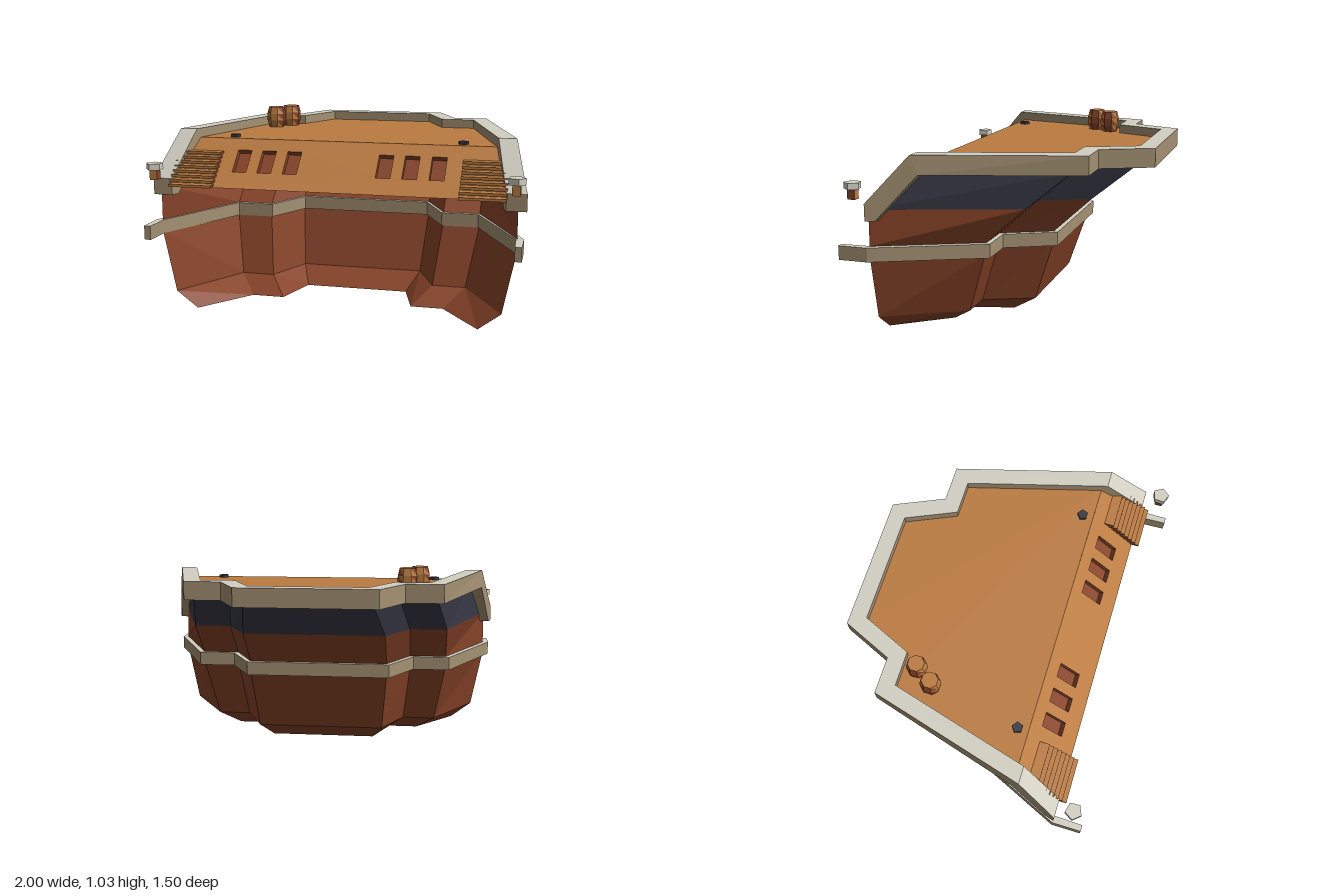
import * as THREE from 'three';

const mat = (name, color) => {
  const m = new THREE.MeshStandardMaterial({ color, side: THREE.DoubleSide, flatShading: true });
  m.name = name;
  return m;
};
const redWood = mat('red wood', 0x864328);
const orangeWood = mat('orange wood', 0xbb7b41);
const paleTrim = mat('pale trim', 0xd2cfc2);
const tanTrim = mat('tan trim', 0xa39072);
const darkBlue = mat('dark blue', 0x383846);

function add(parent, name, geometry, material, x = 0, y = 0, z = 0) {
  const m = new THREE.Mesh(geometry, material);
  m.name = name;
  m.position.set(x, y, z);
  parent.add(m);
  return m;
}

// Faceted strip between consecutive rows of points
function sheet(...rows) {
  const p = [];
  for (let r = 0; r < rows.length - 1; r++) {
    const a = rows[r], b = rows[r + 1];
    for (let i = 0; i < a.length - 1; i++) {
      p.push(...a[i], ...a[i + 1], ...b[i + 1], ...a[i], ...b[i + 1], ...b[i]);
    }
  }
  const g = new THREE.BufferGeometry();
  g.setAttribute('position', new THREE.Float32BufferAttribute(p, 3));
  g.computeVertexNormals();
  return g;
}

// Completes a half path (left front to back) with its mirror image
const mirrored = (half) => [...half, ...half.slice().reverse().map(([x, y, z]) => [-x, y, z])];

// Rectangular beam along the hull: pale on top, tan elsewhere
function beam(parent, name, outTop, inTop, outBot, inBot) {
  const [ot, it, ob, ib] = [outTop, inTop, outBot, inBot].map(mirrored);
  const n = ot.length - 1;
  add(parent, name + 'Top', sheet(ot, it), paleTrim);
  add(parent, name + 'Sides', sheet(it, ib, ob, ot), tanTrim);
  add(parent, name + 'LeftEnd', sheet([ib[0], ob[0]], [it[0], ot[0]]), tanTrim);
  add(parent, name + 'RightEnd', sheet([ob[n], ib[n]], [ot[n], it[n]]), tanTrim);
}

const polygon = (pts) => new THREE.Shape(pts.map(([x, y]) => new THREE.Vector2(x, y)));

// Barrel with red staves on the sides and orange ones front and back
function barrelGeometry() {
  const prof = [[0, 0], [0.045, 0], [0.056, 0.04], [0.056, 0.08], [0.045, 0.12], [0, 0.12]];
  const g = new THREE.LatheGeometry(prof.map(([x, y]) => new THREE.Vector2(x, y)), 8, Math.PI / 8).toNonIndexed();
  const p = g.attributes.position;
  g.clearGroups();
  for (let i = 0; i < p.count; i += 3) {
    let x = 0, z = 0, flat = true;
    for (let k = i; k < i + 3; k++) {
      x += p.getX(k);
      z += p.getZ(k);
      if (Math.abs(p.getY(k) - p.getY(i)) > 0.001) flat = false;
    }
    g.addGroup(i, 3, !flat && Math.abs(x) > Math.abs(z) ? 1 : 0);
  }
  return g;
}

export function createModel() {
  const ship = new THREE.Group();
  ship.name = 'shipStern';

  // Open hull shell, each row: height, four widths, three depths (front, step, back)
  const row = ([y, a, b, c, d, zf, zs, zb]) => mirrored([[a, y, zf], [b, y, zs], [c, y, zs], [d, y, zb]]);
  const rows = [
    [0, 0.77, 0.55, 0.37, 0.295, 0.59, 0.30, 0.04],
    [0.09, 0.89, 0.655, 0.47, 0.355, 0.59, 0.17, -0.10],
    [0.42, 0.957, 0.715, 0.51, 0.385, 0.59, 0.06, -0.21],
    [0.49, 0.957, 0.715, 0.51, 0.385, 0.59, 0.05, -0.215],
    [0.68, 0.955, 0.715, 0.51, 0.385, 0.59, -0.16, -0.42],
    [0.87, 0.86, 0.66, 0.46, 0.335, 0.34, -0.385, -0.655],
  ].map(row);
  add(ship, 'hull', sheet(...rows.slice(0, 5)), redWood);
  add(ship, 'upperHullBand', sheet(...rows.slice(4)), darkBlue);

  // Rubbing strake around the hull, running on past the open front
  const at = (y, pts) => pts.map(([x, z]) => [x, y, z]);
  const strakeOut = [[0.99, 0.75], [0.99, 0.59], [0.735, 0.025], [0.53, 0.025], [0.40, -0.24]];
  const strakeIn = [[0.955, 0.75], [0.95, 0.59], [0.708, 0.07], [0.503, 0.07], [0.378, -0.195]];
  beam(ship, 'strake', at(0.49, strakeOut), at(0.49, strakeIn), at(0.415, strakeOut), at(0.415, strakeIn));

  // Bulwark rail, sloping down at the front
  const outBack = [[0.69, -0.48], [0.49, -0.48], [0.37, -0.75]];
  const inBack = [[0.62, -0.39], [0.43, -0.39], [0.31, -0.66]];
  beam(ship, 'rail',
    [[1, 0.72, 0.59], [0.984, 0.77, 0.545], [0.927, 0.965, 0.37], ...at(0.965, outBack)],
    [[0.895, 0.72, 0.59], [0.882, 0.77, 0.545], [0.832, 0.965, 0.37], ...at(0.965, inBack)],
    [[1, 0.63, 0.59], [0.985, 0.63, 0.54], [0.925, 0.865, 0.33], ...at(0.865, outBack)],
    [[0.895, 0.63, 0.59], [0.88, 0.63, 0.54], [0.82, 0.865, 0.33], ...at(0.865, inBack)]);

  // Flat deck
  const deckHalf = [[0.84, -0.34], [0.64, 0.41], [0.45, 0.41], [0.33, 0.68]];
  const deckPts = [...deckHalf, ...deckHalf.slice().reverse().map(([x, y]) => [-x, y])];
  add(ship, 'deck', new THREE.ShapeGeometry(polygon(deckPts)), orangeWood, 0, 0.915, 0).rotation.x = -Math.PI / 2;

  // Sloping front of the deck with six recessed windows
  const slope = new THREE.Group();
  slope.name = 'deckFront';
  slope.position.set(0, 0.68, 0.59);
  slope.rotation.x = -Math.atan2(0.25, 0.235);
  ship.add(slope);
  const front = polygon([[-0.95, 0], [0.95, 0], [0.84, 0.343], [-0.84, 0.343]]);
  for (const x of [-0.54, -0.4, -0.257, 0.25, 0.39, 0.533]) {
    const [w, lo, hi, depth] = [0.039, 0.11, 0.262, 0.03];
    front.holes.push(polygon([[x - w, lo], [x - w, hi], [x + w, hi], [x + w, lo]]));
    const pan = new THREE.BoxGeometry(2 * w, hi - lo, depth);
    // Leave off the outer face so the recess is open
    const idx = Array.from(pan.index.array);
    idx.splice(24, 6);
    pan.setIndex(idx);
    pan.clearGroups();
    add(slope, 'windowRecess', pan, redWood, x, (lo + hi) / 2, -depth / 2);
  }
  add(slope, 'slopingPanel', new THREE.ShapeGeometry(front), orangeWood);

  // Box materials: red ends, orange elsewhere
  const twoTone = [redWood, redWood, orangeWood, orangeWood, orangeWood, orangeWood];
  for (const s of [1, -1]) {
    const side = s > 0 ? 'left' : 'right';

    // Stairs up the sloping front
    const stairs = new THREE.Group();
    stairs.name = side + 'Stairs';
    ship.add(stairs);
    for (let i = 0; i < 8; i++) {
      add(stairs, 'tread', new THREE.BoxGeometry(0.24, 0.014, 0.055), twoTone,
        s * 0.78, 0.69 + i * 0.0222, 0.6025 - i * 0.0237);
    }

    // Lantern beyond the end of the rail
    const lantern = new THREE.Group();
    lantern.name = side + 'Lantern';
    lantern.position.set(s * 0.95, 0, 0.675);
    ship.add(lantern);
    add(lantern, 'lanternBody', new THREE.BoxGeometry(0.042, 0.055, 0.042), twoTone, 0, 0.757, 0);
    const cap = add(lantern, 'lanternCap', new THREE.CylinderGeometry(0.046, 0.046, 0.033, 5), paleTrim, 0, 0.8, 0);
    cap.rotation.y = s * 0.25;

    // Small deck fitting
    add(ship, side + 'DeckFitting', new THREE.CylinderGeometry(0.03, 0.03, 0.02, 5), darkBlue, s * 0.64, 0.92, 0.28)
      .rotation.y = Math.PI;
  }

  // Pair of barrels
  for (const [x, z] of [[-0.495, -0.313], [-0.56, -0.217]]) {
    add(ship, 'barrel', barrelGeometry(), [orangeWood, redWood], x, 0.915, z);
  }
  return ship;
}
